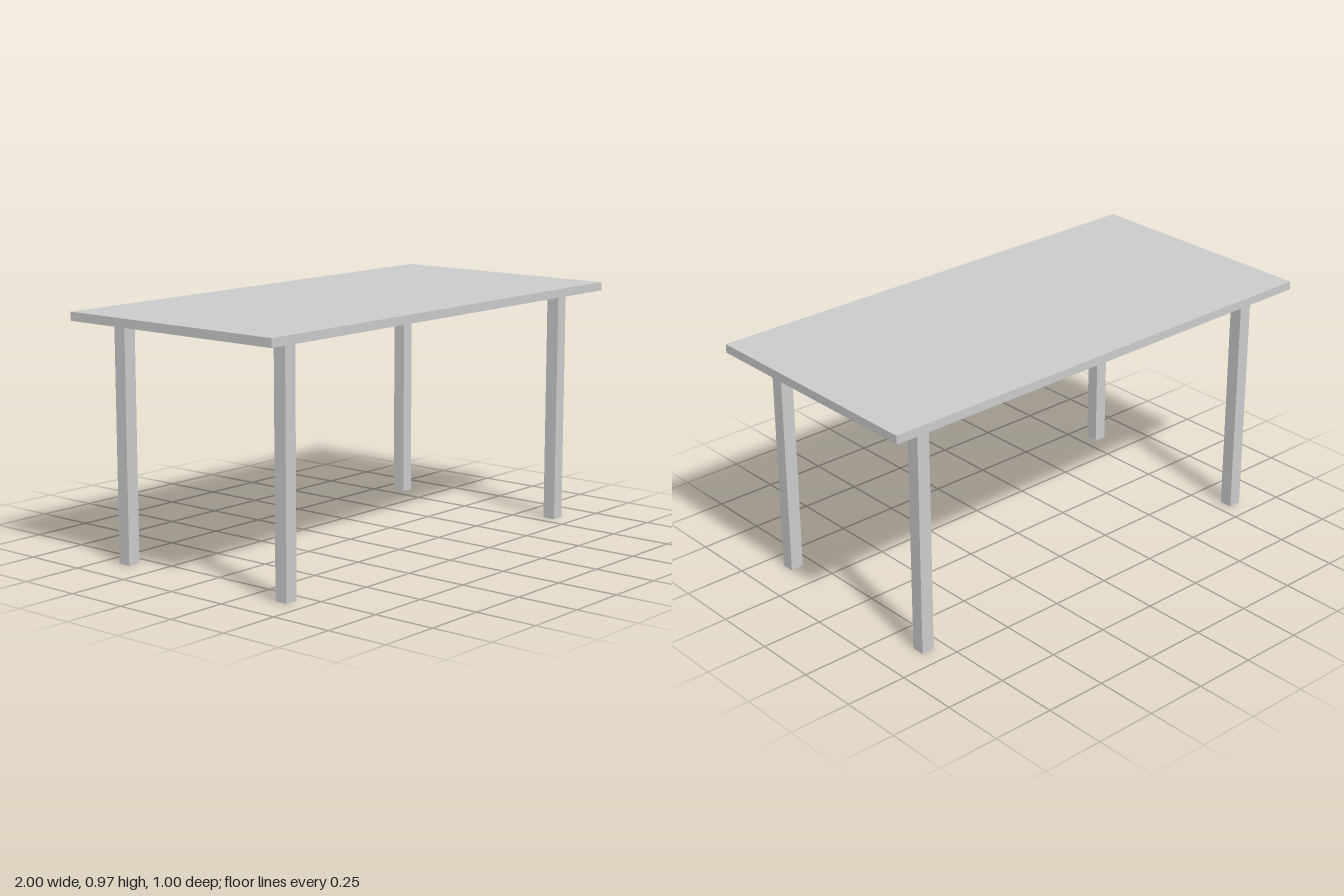
import * as THREE from 'three';

const TOP_Y = 0.973, TOP_THICKNESS = 0.034;
const LEG_HEIGHT = 0.935, LEG_WIDTH = 0.053;
const LEG_X = 0.825, LEG_Z = 0.4;

export function createModel() {
  const table = new THREE.Group();
  table.name = 'table';
  const material = new THREE.MeshStandardMaterial({ color: 0xcccccc });

  // Flat rectangular top
  const top = new THREE.Mesh(new THREE.BoxGeometry(2, TOP_THICKNESS, 1), material);
  top.name = 'tableTop';
  top.position.y = TOP_Y - TOP_THICKNESS / 2;
  table.add(top);

  // Four square legs, set in from the corners and ending just under the top
  const legGeometry = new THREE.BoxGeometry(LEG_WIDTH, LEG_HEIGHT, LEG_WIDTH);
  for (const [sideName, sx] of [['Left', 1], ['Right', -1]]) {
    for (const [endName, sz] of [['front', 1], ['back', -1]]) {
      const leg = new THREE.Mesh(legGeometry, material);
      leg.name = `${endName}${sideName}Leg`;
      leg.position.set(sx * LEG_X, LEG_HEIGHT / 2, sz * LEG_Z);
      table.add(leg);
    }
  }
  return table;
}
